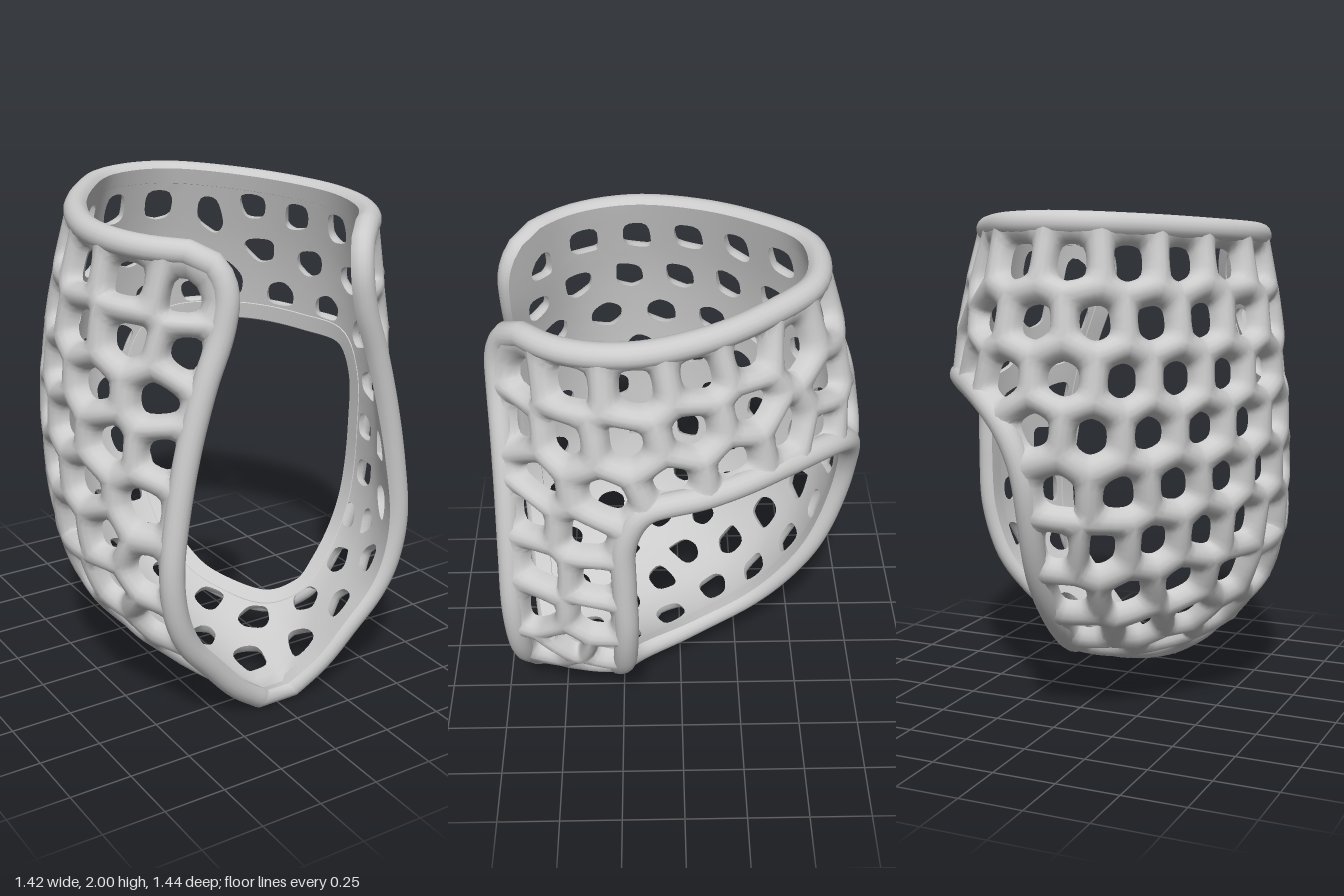
import * as THREE from 'three';
import { toCreasedNormals } from 'three/addons/utils/BufferGeometryUtils.js';

const V_TOP = 2.3, STEP = 0.23;        // v runs up the shell, u runs around it from the back line
const CELL = 0.22, ROW = 0.19;         // honeycomb spacing
const WALL = 0.07, INSET = 0.47;       // strut height, share of a cell covered by struts
const SUB = 4, DOME = 4;               // points per cell side, rings per strut
const RIM = 0.048, RIM_RISE = 0.03;    // rim radius and height of its centre
const GRID = 0.016, NV = 92, NS = 96;

// Cross-sections from tip to top: edge y, x, z, half width, z of widest point, back y, z
const SECTIONS = [
  [0.07, 0.05, 0.585, 0.06, 0.57, 0.08, 0.55],
  [0.17, 0.18, 0.61, 0.19, 0.46, 0.13, 0.30],
  [0.30, 0.30, 0.625, 0.33, 0.35, 0.20, 0.08],
  [0.43, 0.41, 0.64, 0.46, 0.28, 0.29, -0.17],
  [0.57, 0.47, 0.65, 0.56, 0.20, 0.42, -0.36],
  [0.75, 0.49, 0.655, 0.62, 0.15, 0.65, -0.53],
  [0.97, 0.465, 0.65, 0.635, 0.12, 0.93, -0.625],
  [1.20, 0.42, 0.645, 0.635, 0.12, 1.20, -0.65],
  [1.42, 0.36, 0.645, 0.62, 0.13, 1.42, -0.625],
  [1.63, 0.29, 0.65, 0.59, 0.15, 1.66, -0.575],
  [1.89, 0.25, 0.65, 0.53, 0.18, 1.95, -0.49],
];

// Side window outline in (u, v)
const WINDOW = [[0.05, 1.5], [0.04, 1.1], [0.05, 0.8], [0.1, 0.6], [0.25, 0.46], [0.45, 0.52], [0.66, 0.68],
  [0.87, 0.9], [1.05, 1.13], [1.15, 1.36], [1.17, 1.57], [1.08, 1.72], [0.85, 1.75], [0.5, 1.76], [0.2, 1.7]];

// Table of evenly spaced points on every slice, with its half length
function buildSlices() {
  const spline = new THREE.CubicInterpolant(SECTIONS.map((_, i) => i * STEP), SECTIONS.flat(), 7);
  return Array.from({ length: NV + 1 }, (_, i) => {
    const [yE, xE, zE, w, zs, yB, zB] = spline.evaluate(V_TOP * i / NV);
    const back = (x, d, f) => [w * x, yB + (yE - yB) * f, zs + (zB - zs) * d];
    const half = [back(0.286, 0.955, 0.06), back(0.57, 0.74, 0.2), back(0.857, 0.4, 0.45), back(1, 0, 0.68),
      [xE + (w - xE) * 0.8, yB + (yE - yB) * 0.86, (zs + zE) / 2], [xE, yE, zE]];
    const pts = [...half.map(([x, y, z]) => [-x, y, z]).reverse(), back(0, 1, 0), ...half];
    const curve = new THREE.CatmullRomCurve3(pts.map(p => new THREE.Vector3(...p)));
    return { points: curve.getSpacedPoints(NS), length: curve.getLength() / 2 };
  });
}

export function createModel() {
  const group = new THREE.Group();
  const material = new THREE.MeshStandardMaterial({ color: 0xcccccc });
  const slices = buildSlices();
  const clamp = THREE.MathUtils.clamp;
  const mix = (a, b, t) => [a[0] + (b[0] - a[0]) * t, a[1] + (b[1] - a[1]) * t];

  const halfLength = v => {
    const f = clamp(v / V_TOP, 0, 1) * NV, i = Math.min(Math.floor(f), NV - 1);
    return slices[i].length + (slices[i + 1].length - slices[i].length) * (f - i);
  };
  // Point on the inner skin, s from -1 to 1 around the slice
  const skin = (s, v) => {
    const f = clamp(v / V_TOP, 0, 1) * NV, i = Math.min(Math.floor(f), NV - 1);
    const g = (clamp(s, -1, 1) + 1) / 2 * NS, j = Math.min(Math.floor(g), NS - 1);
    const row = r => r.points[j].clone().lerp(r.points[j + 1], g - j);
    return row(slices[i]).lerp(row(slices[i + 1]), f - i);
  };
  const onSkin = (u, v) => skin(u / halfLength(v), v);
  const normalAt = (u, v) => {
    const s = u / halfLength(v), n = Math.max(v, 0.06);
    const du = skin(s + 0.03, n).sub(skin(s - 0.03, n));
    return skin(s, n + 0.04).sub(skin(s, n - 0.04)).cross(du).normalize();
  };
  const place = (u, v, h) => onSkin(u, v).addScaledVector(normalAt(u, v), h);

  // Outer outline with rounded top corners, and the window loop
  const R = 0.16;
  const edgeU = v => halfLength(v) - (v > V_TOP - R ? R - Math.sqrt(Math.max(0, R * R - (v - V_TOP + R) ** 2)) : 0);
  const outline = [];
  for (let i = 0; i <= 150; i++) outline.push([edgeU(V_TOP * i / 150), V_TOP * i / 150]);
  for (let i = 1; i < 120; i++) outline.push([edgeU(V_TOP) * (1 - i / 60), V_TOP]);
  for (let i = 150; i >= 0; i--) outline.push([-edgeU(V_TOP * i / 150), V_TOP * i / 150]);
  const windowLoop = new THREE.CatmullRomCurve3(WINDOW.map(([u, v]) => new THREE.Vector3(u, v, 0)), true)
    .getSpacedPoints(300).slice(0, -1).map(p => [p.x, p.y]);
  const OUTSIDE = -1, IN_WINDOW = -2;
  const loops = { [OUTSIDE]: outline, [IN_WINDOW]: windowLoop };

  const snap = ([u, v], loop) => {
    let best = loop[0], min = Infinity;
    for (const b of loop) {
      const d = (b[0] - u) ** 2 + (b[1] - v) ** 2;
      if (d < min) { min = d; best = b; }
    }
    return best;
  };
  const region = ([u, v]) => {
    if (v <= 0 || v >= V_TOP || Math.abs(u) >= edgeU(v)) return OUTSIDE;
    let inside = false;
    windowLoop.forEach(([a, b], i) => {
      const [c, d] = windowLoop[(i + 1) % windowLoop.length];
      if ((b > v) !== (d > v) && u < a + (c - a) * (v - b) / (d - b)) inside = !inside;
    });
    return inside ? IN_WINDOW : 0;
  };

  // Dense samples of the shell, weighted by area
  const cols = Math.ceil(3.7 / GRID), rows = Math.ceil((V_TOP + 2 * GRID) / GRID);
  const samples = [];
  for (let j = 0; j <= rows; j++) {
    for (let i = 0; i <= cols; i++) {
      const uv = [(i - cols / 2) * GRID, (j - 0.5) * GRID], label = region(uv), p = onSkin(...uv);
      const du = onSkin(uv[0] + 0.01, uv[1]).sub(p), dv = onSkin(uv[0], uv[1] + 0.01).sub(p);
      samples.push({ uv, label, p, area: du.cross(dv).length() + 1e-7 });
    }
  }
  const shell = samples.filter(s => s.label === 0);

  // Cell centres: a staggered grid first, then the gaps are filled
  let seeds = [];
  const trySeed = (uv, gap) => {
    if (region(uv) !== 0) return;
    const p = onSkin(...uv);
    const clear = Object.values(loops).every(l => onSkin(...snap(uv, l)).distanceTo(p) > 0.07);
    if (clear && seeds.every(q => q.p.distanceTo(p) > gap)) seeds.push({ uv, p });
  };
  for (let row = 0; row < 13; row++) {
    for (let col = -10; col <= 10; col++) {
      trySeed([(col + (row % 2 ? 0 : 0.5)) * CELL, V_TOP - 0.12 - row * ROW], 0.76 * CELL);
    }
  }
  shell.forEach(s => trySeed(s.uv, 0.82 * CELL));

  // Even out the cells: each centre moves to the middle of its nearest samples
  const assign = () => shell.forEach(s => {
    let min = Infinity;
    seeds.forEach((q, k) => {
      const d = q.p.distanceToSquared(s.p);
      if (d < min) { min = d; s.label = k; }
    });
  });
  for (let pass = 0; pass < 14; pass++) {
    assign();
    const sums = seeds.map(() => [0, 0, 0]);
    for (const { uv, label, area } of shell) {
      sums[label][0] += uv[0] * area;
      sums[label][1] += uv[1] * area;
      sums[label][2] += area;
    }
    seeds = sums.filter(s => s[2] > 0).map(([u, v, a]) => ({ uv: [u / a, v / a], p: onSkin(u / a, v / a) }));
  }
  assign();

  // Corners lie where three cells, or two cells and a border, meet
  const corners = [];
  for (let j = 0; j < rows; j++) {
    for (let i = 0; i < cols; i++) {
      const a = j * (cols + 1) + i;
      const labels = [...new Set([a, a + 1, a + cols + 1, a + cols + 2].map(k => samples[k].label))].sort((x, y) => x - y);
      if (labels.length < 3) continue;
      const uv = mix(samples[a].uv, samples[a + cols + 2].uv, 0.5), key = labels.join();
      const old = corners.find(c => c.key === key && Math.hypot(c.uv[0] - uv[0], c.uv[1] - uv[1]) < 0.1);
      if (old) old.uv = mix(old.uv, uv, 1 / ++old.count);
      else corners.push({ key, labels, uv, count: 1 });
    }
  }
  for (const c of corners) if (c.labels[0] < 0) c.uv = snap(c.uv, loops[c.labels[0]]);

  // Strips between successive rings of points
  const addRings = (out, rings, flip) => {
    for (let j = 0; j < rings.length - 1; j++) {
      const n = rings[j].length;
      for (let i = 0; i < n; i++) {
        const k = (i + 1) % n;
        const a = rings[j][i], b = rings[j][k], c = rings[j + 1][k], d = rings[j + 1][i];
        for (const p of flip ? [a, c, b, a, d, c] : [a, b, c, a, c, d]) out.push(p.x, p.y, p.z);
      }
    }
  };
  const addSurface = (name, data) => {
    const geometry = new THREE.BufferGeometry();
    geometry.setAttribute('position', new THREE.Float32BufferAttribute(data, 3));
    const mesh = new THREE.Mesh(toCreasedNormals(geometry, 0.9), material);
    mesh.name = name;
    group.add(mesh);
  };

  // Honeycomb: rounded struts outside, smooth lining inside
  const struts = [], lining = [];
  seeds.forEach(({ uv: [cu, cv] }, id) => {
    const angle = c => Math.atan2(c.uv[1] - cv, c.uv[0] - cu);
    const own = corners.filter(c => c.labels.includes(id)).sort((a, b) => angle(a) - angle(b));
    const points = own.flatMap((a, i) => {
      const b = own[(i + 1) % own.length], border = a.labels.find(l => l < 0 && b.labels.includes(l));
      return Array.from({ length: SUB }, (_, k) => {
        const p = mix(a.uv, b.uv, k / SUB);
        return k > 0 && border ? snap(p, loops[border]) : p;
      });
    });
    const n = points.length;
    const mid = points.reduce((m, p) => [m[0] + p[0] / n, m[1] + p[1] / n], [0, 0]);
    let hole = points;
    for (let k = 0; k < 2; k++) hole = hole.map((p, i) => mix(p, mix(hole[(i + 1) % n], hole[(i + n - 1) % n], 0.5), 0.6));
    hole = hole.map(p => mix(p, mid, INSET));
    const ring = (t, h) => points.map((p, i) => place(...mix(p, hole[i], t), h));
    const dome = Array.from({ length: DOME + 1 }, (_, j) => {
      const a = j / DOME * Math.PI / 2;
      return ring(Math.sin(a), WALL * Math.cos(a));
    });
    addRings(struts, dome, true);
    addRings(lining, [ring(0, 0), ring(0.5, 0), ring(1, 0)], false);
  });
  addSurface('honeycombStruts', struts);
  addSurface('innerLining', lining);

  // Rims along the shell edge and the window: round outside, flush inside
  const addRim = (name, loop) => {
    const path = loop.filter((_, i) => i % 2 === 0), n = path.length;
    const rings = path.map(([u, v], i) => {
      const along = onSkin(...path[(i + 1) % n]).sub(onSkin(...path[(i + n - 1) % n]));
      const up = normalAt(u, v), side = up.clone().cross(along).normalize();
      return Array.from({ length: 16 }, (_, k) => {
        const a = k / 16 * Math.PI * 2;
        return onSkin(u, v).addScaledVector(side, RIM * Math.cos(a))
          .addScaledVector(up, Math.max(-0.004, RIM_RISE + RIM * Math.sin(a)));
      });
    });
    const data = [];
    addRings(data, [...rings, rings[0]], false);
    addSurface(name, data);
  };
  addRim('outerRim', outline);
  addRim('windowRim', windowLoop);

  // Stand on the ground, centred
  const box = new THREE.Box3().setFromObject(group), centre = box.getCenter(new THREE.Vector3());
  group.position.set(-centre.x, -box.min.y, -centre.z);
  return group;
}
